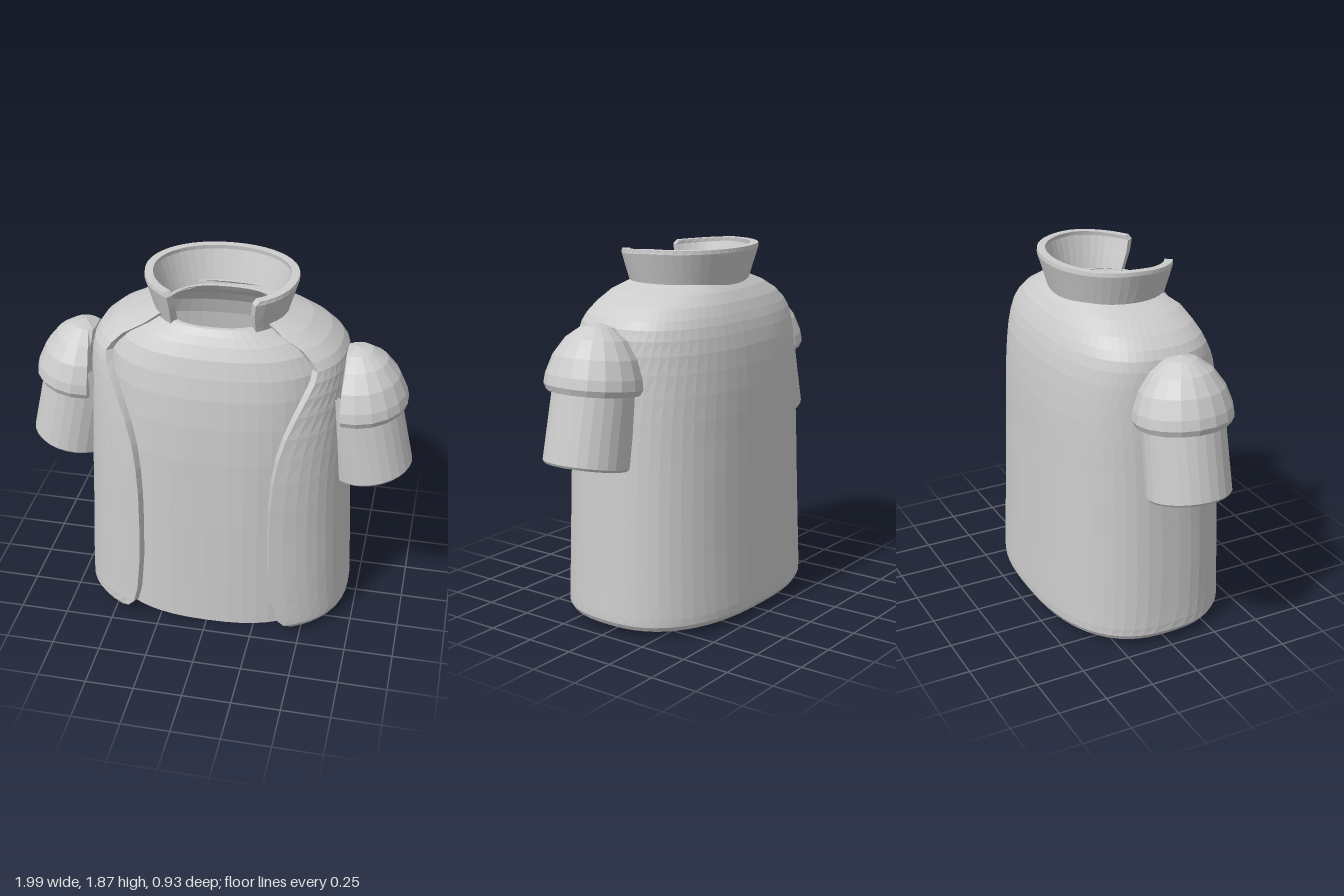
import * as THREE from 'three';

const cloth = new THREE.MeshStandardMaterial({ color: 0xcccccc, flatShading: true, side: THREE.DoubleSide });
cloth.name = 'grey cloth';

// Thick wall lofted through rounded cross-sections, optionally open at the front.
// rows: [y, half width, front depth, back depth, half width of the front opening]
function shell(rows, power, segs, t, drop = 0) {
  const pos = [], idx = [];
  const ring = 2 * (segs + 1);
  const bend = (v) => Math.sign(v) * Math.pow(Math.abs(v), 2 / power);
  for (const [y, a, front, back, gap] of rows) {
    const start = Math.asin(Math.pow(Math.min(gap / a, 1), power / 2));
    for (let k = 0; k < ring; k++) {
      const inner = k > segs;
      const i = inner ? ring - 1 - k : k;
      const th = start + (2 * Math.PI - 2 * start) * i / segs;
      const s = Math.sin(th), c = Math.cos(th), off = inner ? t : 0;
      pos.push((a - off) * bend(s), y - drop * Math.max(c, 0), ((c > 0 ? front : back) - off) * bend(c));
    }
  }
  const quad = (a, b, c, d) => idx.push(a, b, c, a, c, d);
  for (let j = 0; j < rows.length - 1; j++) {
    for (let k = 0; k < ring; k++) {
      const n = (k + 1) % ring, o = j * ring;
      quad(o + k, o + n, o + ring + n, o + ring + k);
    }
  }
  // bottom and top rims
  const top = (rows.length - 1) * ring;
  for (let i = 0; i < segs; i++) {
    quad(i + 1, i, ring - 1 - i, ring - 2 - i);
    quad(top + i, top + i + 1, top + ring - 2 - i, top + ring - 1 - i);
  }
  const g = new THREE.BufferGeometry();
  g.setAttribute('position', new THREE.Float32BufferAttribute(pos, 3));
  g.setIndex(idx);
  g.computeVertexNormals();
  return g;
}

function add(parent, name, geometry) {
  const m = new THREE.Mesh(geometry, cloth);
  m.name = name;
  parent.add(m);
  return m;
}

const profile = (list) => list.map(([x, y]) => new THREE.Vector2(x, y));

export function createModel() {
  const model = new THREE.Group();
  model.name = 'shirtAndVest';

  // Inner shirt, open at the neck and hem
  add(model, 'shirt', shell([
    [0, 0.58, 0.415, 0.36, 0],
    [0.6, 0.58, 0.41, 0.37, 0],
    [1.0, 0.575, 0.405, 0.375, 0],
    [1.2, 0.57, 0.395, 0.375, 0],
    [1.35, 0.565, 0.38, 0.365, 0],
    [1.46, 0.55, 0.36, 0.35, 0],
    [1.55, 0.50, 0.335, 0.32, 0],
    [1.61, 0.43, 0.305, 0.28, 0],
    [1.65, 0.35, 0.28, 0.24, 0],
    [1.68, 0.29, 0.255, 0.22, 0],
  ], 2.4, 48, 0.02));

  // Open vest with curved front edges
  add(model, 'vest', shell([
    [0.035, 0.69, 0.50, 0.45, 0.46],
    [0.06, 0.705, 0.51, 0.463, 0.42],
    [0.10, 0.705, 0.51, 0.465, 0.385],
    [0.20, 0.70, 0.508, 0.462, 0.36],
    [0.40, 0.692, 0.505, 0.455, 0.342],
    [0.60, 0.682, 0.502, 0.45, 0.337],
    [0.80, 0.674, 0.499, 0.445, 0.338],
    [0.95, 0.668, 0.495, 0.44, 0.348],
    [1.08, 0.664, 0.487, 0.437, 0.367],
    [1.20, 0.66, 0.478, 0.432, 0.40],
    [1.31, 0.656, 0.465, 0.423, 0.444],
    [1.40, 0.652, 0.45, 0.412, 0.485],
    [1.47, 0.645, 0.435, 0.396, 0.515],
    [1.52, 0.632, 0.418, 0.38, 0.522],
    [1.56, 0.605, 0.395, 0.362, 0.495],
    [1.61, 0.545, 0.36, 0.335, 0.44],
    [1.66, 0.45, 0.315, 0.295, 0.345],
    [1.70, 0.335, 0.26, 0.25, 0.27],
  ], 2.5, 46, 0.035));

  // Flared standing collar, open at the front
  add(model, 'collar', shell([
    [1.665, 0.325, 0.27, 0.265, 0.21],
    [1.71, 0.338, 0.28, 0.278, 0.208],
    [1.79, 0.362, 0.302, 0.302, 0.208],
    [1.85, 0.38, 0.317, 0.32, 0.215],
    [1.87, 0.378, 0.315, 0.318, 0.232],
  ], 2.1, 36, 0.04, 0.025));

  // Sleeve and shoulder cap, turned around for the other side
  for (const side of ['left', 'right']) {
    const arm = new THREE.Group();
    arm.name = side + 'Arm';
    arm.position.z = 0.048;
    arm.rotation.y = side === 'left' ? 0 : Math.PI;

    const sleeve = new THREE.LatheGeometry(
      profile([[0.18, 0.5], [0.192, 0.012], [0.2, 0], [0.21, 0.012], [0.2, 0.5]]),
      20, -Math.PI / 4, Math.PI * 1.5);
    sleeve.rotateZ(0.2).translate(0.79, 0.87, 0);
    add(arm, side + 'Sleeve', sleeve);

    const cap = new THREE.LatheGeometry(
      profile([[0.18, 0.01], [0.222, 0], [0.236, 0.03], [0.23, 0.08], [0.2, 0.17], [0.145, 0.255], [0.075, 0.31], [0, 0.328]]),
      18);
    cap.scale(1, 1, 1.05).rotateZ(0.11).translate(0.72, 1.225, 0);
    // flatten the side that meets the vest
    const p = cap.attributes.position;
    for (let i = 0; i < p.count; i++) p.setX(i, Math.max(p.getX(i), 0.635));
    cap.computeVertexNormals();
    add(arm, side + 'ShoulderCap', cap);

    model.add(arm);
  }
  return model;
}
